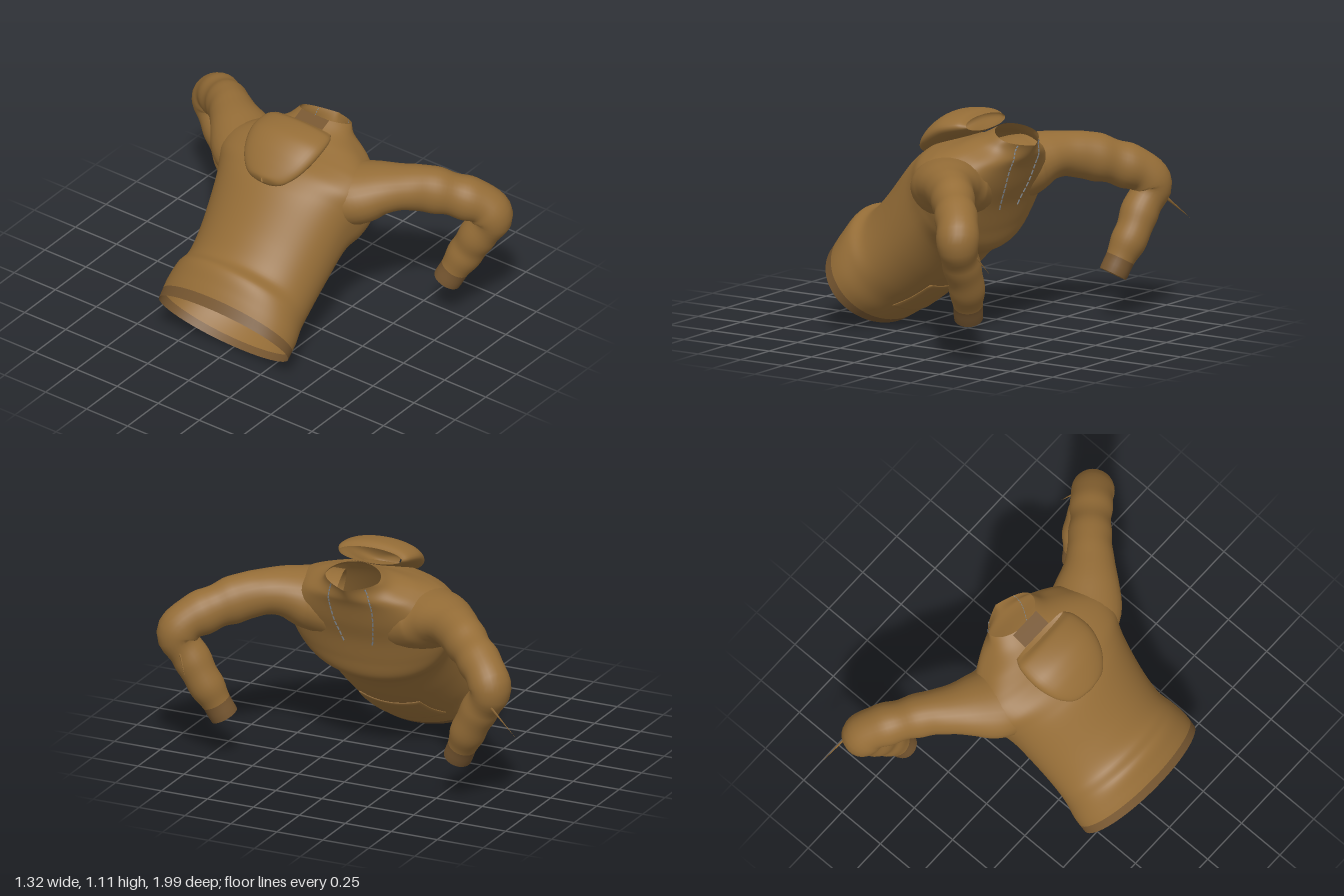
import * as THREE from 'three';

const { lerp, clamp, smoothstep } = THREE.MathUtils;

const material = (name, color) => {
  const m = new THREE.MeshStandardMaterial({ color, side: THREE.DoubleSide });
  m.name = name;
  return m;
};

// Skin a list of rings (arrays of Vector3); the first/last rows may use the trim material
function loft(rings, closed = true, firstTrim = 0, lastTrim = 0) {
  const n = rings[0].length, rows = rings.length - 1, cols = closed ? n : n - 1;
  const index = [];
  for (let r = 0; r < rows; r++) {
    for (let c = 0; c < cols; c++) {
      const a = r * n + c, b = r * n + (c + 1) % n;
      index.push(a, a + n, b, b, a + n, b + n);
    }
  }
  const geo = new THREE.BufferGeometry().setFromPoints(rings.flat());
  geo.setIndex(index);
  geo.computeVertexNormals();
  const step = cols * 6, middle = rows - firstTrim - lastTrim;
  if (firstTrim) geo.addGroup(0, firstTrim * step, 1);
  geo.addGroup(firstTrim * step, middle * step, 0);
  if (lastTrim) geo.addGroup((rows - lastTrim) * step, lastTrim * step, 1);
  return geo;
}

// Surface from sections [backX, backY, frontX, frontY, halfWidth];
// shape(t, cos, sin) may change the outline of the cross-section
function sectionSurface(sections, shape = (t, cos) => cos) {
  const spline = f => new THREE.CatmullRomCurve3(sections.map(f), false, 'catmullrom', 0.5);
  const back = spline(s => new THREE.Vector3(s[0], s[1], s[4]));
  const front = spline(s => new THREE.Vector3(s[2], s[3], s[4]));
  return (t, angle, out = 0) => {
    const b = back.getPoint(t), f = front.getPoint(t);
    const half = f.clone().sub(b).multiplyScalar(0.5).setZ(0);
    const p = b.clone().add(f).multiplyScalar(0.5).setZ(0);
    const sin = Math.sin(angle);
    p.addScaledVector(half, shape(t, Math.cos(angle), sin) * (1 + out / half.length()));
    p.z = (f.z + out) * sin;
    return p;
  };
}

const ringsOf = (surface, rows, sides) => Array.from({ length: rows + 1 }, (_, r) =>
  Array.from({ length: sides }, (_, c) => surface(r / rows, c / sides * Math.PI * 2)));

// Broad, flat chest and back; the collar comes to a V at the front
function torsoShape(t, cos, sin) {
  const flat = smoothstep(t, 0.3, 0.6) * (1 - smoothstep(t, 0.85, 1));
  const broad = Math.sign(cos) * Math.pow(Math.abs(cos), 1 - 0.33 * flat);
  const vee = 1 - Math.abs(Math.asin(clamp(sin, -1, 1))) * 2 / Math.PI;
  return cos > 0 ? lerp(broad, vee, 0.8 * smoothstep(t, 0.88, 1)) : broad;
}

const torso = sectionSurface([
  [-0.66, 0.40, -0.38, 0.005, 0.38],
  [-0.60, 0.49, -0.31, 0.045, 0.378],
  [-0.54, 0.565, -0.24, 0.09, 0.362],
  [-0.46, 0.58, -0.15, 0.155, 0.35],
  [-0.36, 0.68, -0.03, 0.255, 0.355],
  [-0.22, 0.85, 0.10, 0.385, 0.375],
  [-0.15, 0.91, 0.19, 0.44, 0.40],
  [-0.08, 0.95, 0.23, 0.54, 0.43],
  [0.00, 0.97, 0.27, 0.66, 0.43],
  [0.05, 0.98, 0.315, 0.76, 0.385],
  [0.10, 0.995, 0.355, 0.86, 0.295],
  [0.16, 1.02, 0.39, 0.92, 0.19],
  [0.225, 1.055, 0.42, 0.97, 0.145],
], torsoShape);

// Bottom and top edge of the hood, from its opening to its tip
const hood = sectionSurface([
  [0.15, 1.025, 0.11, 1.09, 0.17],
  [0.10, 1.0, 0.065, 1.11, 0.195],
  [0.02, 0.97, -0.03, 1.10, 0.205],
  [-0.06, 0.93, -0.10, 1.06, 0.19],
  [-0.13, 0.895, -0.155, 1.005, 0.155],
  [-0.18, 0.875, -0.20, 0.945, 0.095],
  [-0.205, 0.895, -0.21, 0.92, 0.005],
]);

// Sleeve path: x, y, distance from the middle, radius, height/width ratio
const sleevePath = [
  [0.10, 0.765, 0.20, 0.195, 0.85],
  [0.135, 0.79, 0.33, 0.19, 0.79],
  [0.195, 0.82, 0.43, 0.155, 0.79],
  [0.255, 0.825, 0.51, 0.124, 0.90],
  [0.335, 0.808, 0.60, 0.108, 1.1],
  [0.43, 0.763, 0.715, 0.102, 1.1],
  [0.515, 0.702, 0.82, 0.106, 1],
  [0.535, 0.635, 0.85, 0.10, 1],
  [0.515, 0.53, 0.79, 0.092, 1],
  [0.505, 0.42, 0.73, 0.09, 1],
  [0.48, 0.32, 0.68, 0.078, 1],
  [0.455, 0.225, 0.635, 0.068, 1],
];

function sleeveRings(side) {
  const rows = 64, sides = 28;
  const path = new THREE.CatmullRomCurve3(sleevePath.map(p => new THREE.Vector3(p[0], p[1], p[2] * side)));
  const size = new THREE.CatmullRomCurve3(sleevePath.map((p, i) => new THREE.Vector3(p[3], p[4], i)));
  const { normals, binormals } = path.computeFrenetFrames(rows);
  return Array.from({ length: rows + 1 }, (_, r) => {
    const t = r / rows, c = path.getPointAt(t);
    // Soft cloth folds along the sleeve
    const fold = 1 + 0.04 * Math.sin(t * 52) * clamp((t - 0.3) * 8, 0, 1);
    const { x: radius, y: ratio } = size.getPoint(path.getUtoTmapping(t));
    return Array.from({ length: sides }, (_, k) => {
      const a = k / sides * Math.PI * 2;
      const offset = normals[r].clone().multiplyScalar(Math.cos(a))
        .addScaledVector(binormals[r], -Math.sin(a)).multiplyScalar(radius * fold);
      offset.y *= ratio;
      return offset.add(c);
    });
  });
}

// Thin stray point of cloth at the elbow
function spike(from, to) {
  const a = new THREE.Vector3(...from), d = new THREE.Vector3(...to).sub(a);
  const geo = new THREE.ConeGeometry(0.008, d.length(), 4).translate(0, d.length() / 2, 0);
  geo.applyQuaternion(new THREE.Quaternion().setFromUnitVectors(new THREE.Vector3(0, 1, 0), d.normalize()));
  return geo.translate(a.x, a.y, a.z);
}

export function createModel() {
  const cloth = material('brown cloth', 0x956d37);
  const trim = material('dark brown ribbing', 0x765630);
  const cord = material('grey cord', 0x868c92);
  const model = new THREE.Group();
  model.name = 'hoodedSweater';
  const body = new THREE.Group();
  body.name = 'garment';
  body.position.z = 0.04;
  model.add(body);
  const add = (name, geo, mat) => {
    const mesh = new THREE.Mesh(geo, mat);
    mesh.name = name;
    body.add(mesh);
  };

  add('torso', loft(ringsOf(torso, 96, 80), true, 4), [cloth, trim]);
  add('hood', loft(ringsOf(hood, 40, 40)), cloth);

  // Neck band joining the hood and the collar
  const band = [[0.15, 1.024], [0.19, 1.04], [0.23, 1.057]].map(([x, y]) =>
    [-0.085, 0, 0.085].map(z => new THREE.Vector3(x, y, z)));
  add('neckBand', loft(band, false), trim);

  // Front pocket, laid just over the torso, its rim turned in to the cloth
  const pocket = Array.from({ length: 15 }, (_, r) => {
    const v = clamp((r - 1) / 12, 0, 1);
    const t = (1.95 + v * 1.75) / 12, reach = 0.63 - 0.15 * v;
    return Array.from({ length: 19 }, (_, c) => {
      const across = clamp((c - 9) / 8, -1, 1);
      const rim = r === 0 || r === 14 || c === 0 || c === 18;
      return torso(t, across * reach, rim ? 0 : 0.007);
    });
  });
  add('pocket', loft(pocket, false), cloth);

  for (const side of [1, -1]) {
    const label = side > 0 ? 'left' : 'right';
    const rings = sleeveRings(side);
    add(label + 'Sleeve', loft(rings, true, 0, 4), [cloth, trim]);

    // Closed end of the cuff
    const edge = rings[rings.length - 1];
    const middle = edge.reduce((s, p) => s.add(p), new THREE.Vector3()).divideScalar(edge.length);
    add(label + 'CuffEnd', loft([edge, edge.map(() => middle)]), cloth);

    // Drawstring made of short stitches down the chest
    for (let i = 0; i < 14; i++) {
      const at = u => {
        const t = (11.9 - 4.1 * u) / 12;
        const width = 0.09 + 0.03 * Math.sin(u * Math.PI) - 0.015 * u;
        const full = torso(t, Math.PI / 2).z;
        return torso(t, side * Math.asin(width / full), 0.003);
      };
      const u = i / 14;
      const line = new THREE.LineCurve3(at(u), at(u + 0.05));
      add(label + 'Drawstring' + i, new THREE.TubeGeometry(line, 1, 0.004, 5), cord);
    }
  }

  // Stray cloth points at the elbows
  add('leftElbowPoint', spike([0.59, 0.61, 0.82], [0.66, 0.48, 0.75]), cloth);
  add('rightElbowPoint', spike([0.60, 0.59, -0.87], [0.64, 0.455, -1.04]), cloth);
  return model;
}
